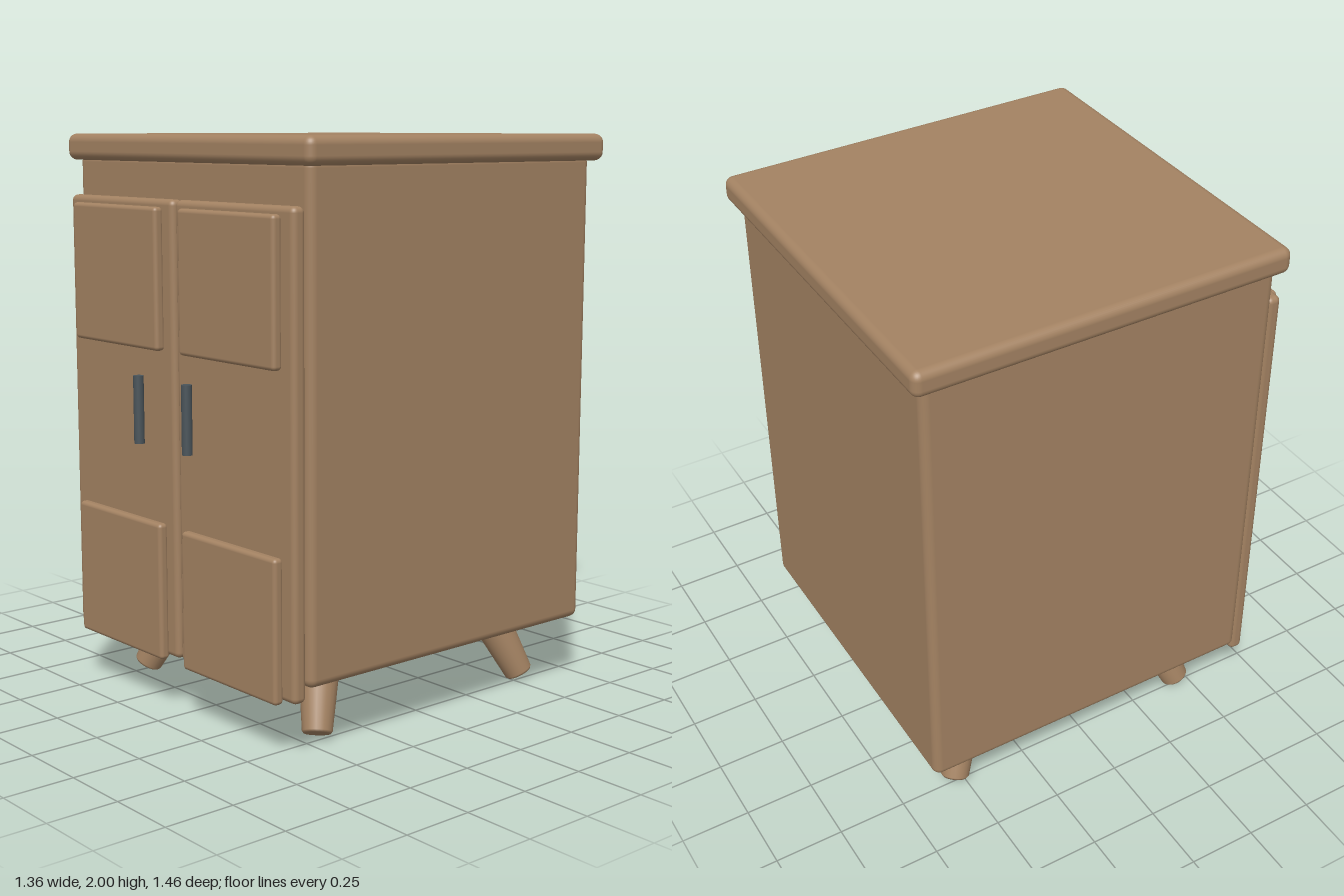
import * as THREE from 'three';
import { RoundedBoxGeometry } from 'three/addons/geometries/RoundedBoxGeometry.js';

export function createModel() {
  const wood = new THREE.MeshStandardMaterial({ color: 0xa38262 });
  wood.name = 'warm brown wood';
  const metal = new THREE.MeshStandardMaterial({ color: 0x4a545a });
  metal.name = 'dark slate metal';

  const model = new THREE.Group();
  model.name = 'cabinet';

  // Rounded block given by its limits on each axis
  function block(name, [x0, x1], [y0, y1], [z0, z1], radius, parent = model) {
    const geometry = new RoundedBoxGeometry(x1 - x0, y1 - y0, z1 - z0, 4, radius);
    const mesh = new THREE.Mesh(geometry, wood);
    mesh.position.set((x0 + x1) / 2, (y0 + y1) / 2, (z0 + z1) / 2);
    mesh.name = name;
    parent.add(mesh);
  }

  // Carcass and overhanging top
  block('body', [-0.645, 0.645], [0.245, 1.93], [-0.687, 0.605], 0.03);
  block('top', [-0.682, 0.682], [1.907, 2.0], [-0.727, 0.637], 0.03);

  // Doors with raised panels and bar handles
  for (const side of [-1, 1]) {
    const door = new THREE.Group();
    door.name = side > 0 ? 'leftDoor' : 'rightDoor';
    const span = (a, b) => (side > 0 ? [a, b] : [-b, -a]);
    block('doorLeaf', span(0.007, 0.627), [0.2, 1.785], [0.603, 0.656], 0.02, door);
    block('upperPanel', span(0.062, 0.567), [1.275, 1.76], [0.65, 0.688], 0.014, door);
    block('lowerPanel', span(0.062, 0.567), [0.19, 0.675], [0.65, 0.688], 0.014, door);

    const handle = new THREE.Mesh(new THREE.CylinderGeometry(0.018, 0.018, 0.235, 24), metal);
    handle.position.set(side * 0.139, 1.07, 0.711);
    handle.name = 'handle';
    door.add(handle);
    model.add(door);
  }

  // Tapered legs, splayed out towards the corners
  const up = new THREE.Vector3(0, 1, 0);
  for (const sx of [-1, 1]) {
    for (const sz of [-1, 1]) {
      const zMid = -0.042;
      const foot = new THREE.Vector3(sx * 0.495, 0.024, zMid + sz * 0.492);
      const head = new THREE.Vector3(sx * 0.405, 0.257, zMid + sz * 0.405);
      const axis = head.clone().sub(foot);
      const length = axis.length();
      const profile = [[0, 0], [0.046, 0], [0.052, 0.008], [0.073, length - 0.008], [0.067, length], [0, length]];
      const geometry = new THREE.LatheGeometry(profile.map(([r, y]) => new THREE.Vector2(r, y)), 24);
      const leg = new THREE.Mesh(geometry, wood);
      leg.position.copy(foot);
      leg.quaternion.setFromUnitVectors(up, axis.normalize());
      leg.name = (sz > 0 ? 'front' : 'back') + (sx > 0 ? 'Left' : 'Right') + 'Leg';
      model.add(leg);
    }
  }

  return model;
}
